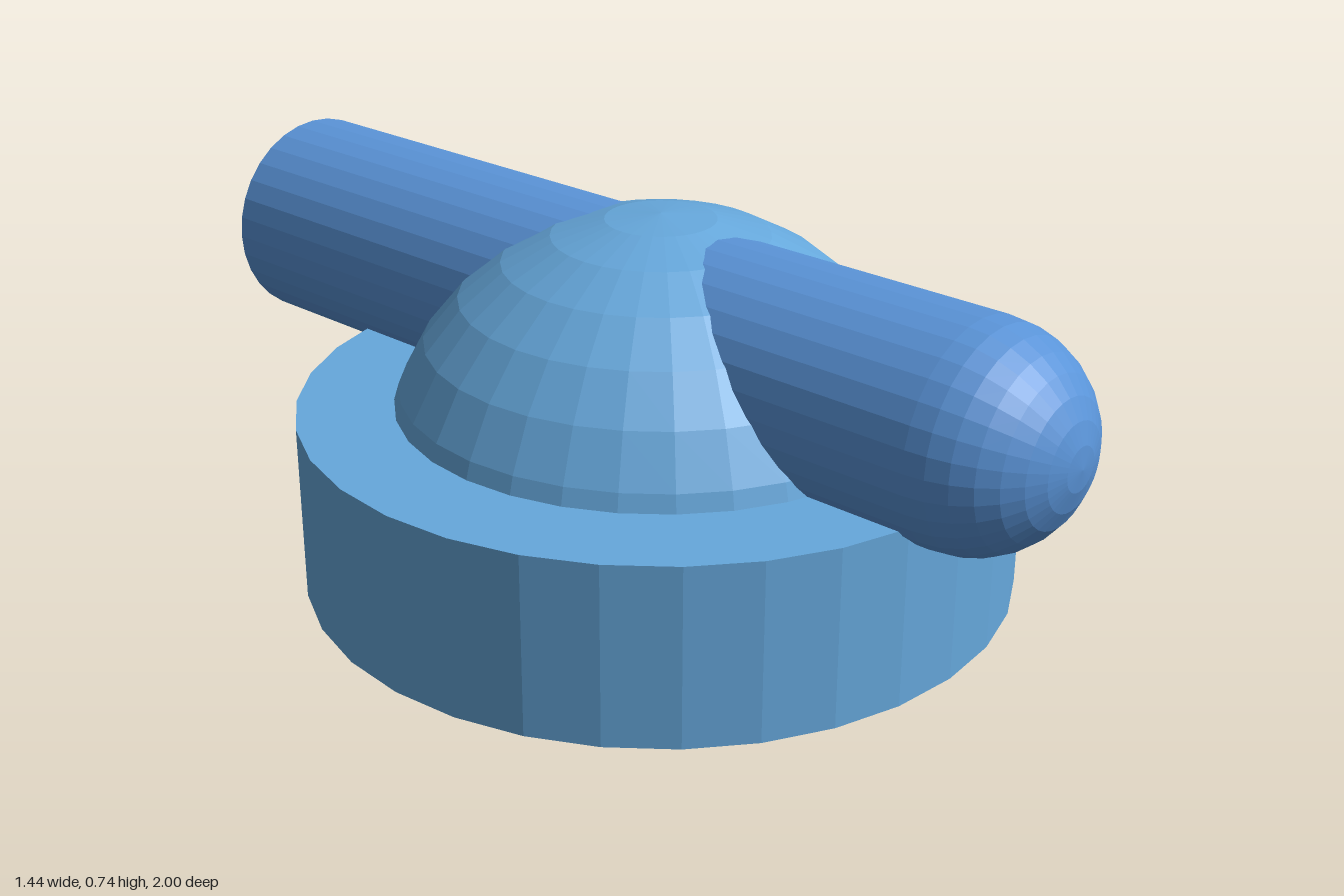
import * as THREE from 'three';

const Z = 0.047; // centre line of base and dome

export function createModel() {
  const group = new THREE.Group();
  const lightBlue = new THREE.MeshStandardMaterial({ color: 0x66a8dc, flatShading: true });
  const blue = new THREE.MeshStandardMaterial({ color: 0x5a94d8, flatShading: true });

  const add = (name, geometry, material, x, y, z) => {
    const mesh = new THREE.Mesh(geometry, material);
    mesh.name = name;
    mesh.position.set(x, y, z);
    group.add(mesh);
    return mesh;
  };

  // Round drum the dome sits in
  add('base', new THREE.CylinderGeometry(0.72, 0.72, 0.36, 32), lightBlue, 0, 0.18, Z);

  // Dome, sunk into the base
  add('dome', new THREE.SphereGeometry(0.56, 32, 8, 0, Math.PI * 2, 0, Math.PI / 2), lightBlue, 0, 0.18, Z);

  // Bar running front to back through the dome, flat at the back
  const r = 0.217, front = 1 - r;
  const bar = add('bar', new THREE.CylinderGeometry(r, r, front + 1, 32), blue, 0, 0.502, (front - 1) / 2);
  bar.rotation.x = Math.PI / 2;

  // Rounded front end of the bar
  const tip = add('barTip', new THREE.SphereGeometry(r, 32, 8, 0, Math.PI * 2, 0, Math.PI / 2), blue, 0, 0.502, front);
  tip.rotation.x = Math.PI / 2;

  return group;
}
